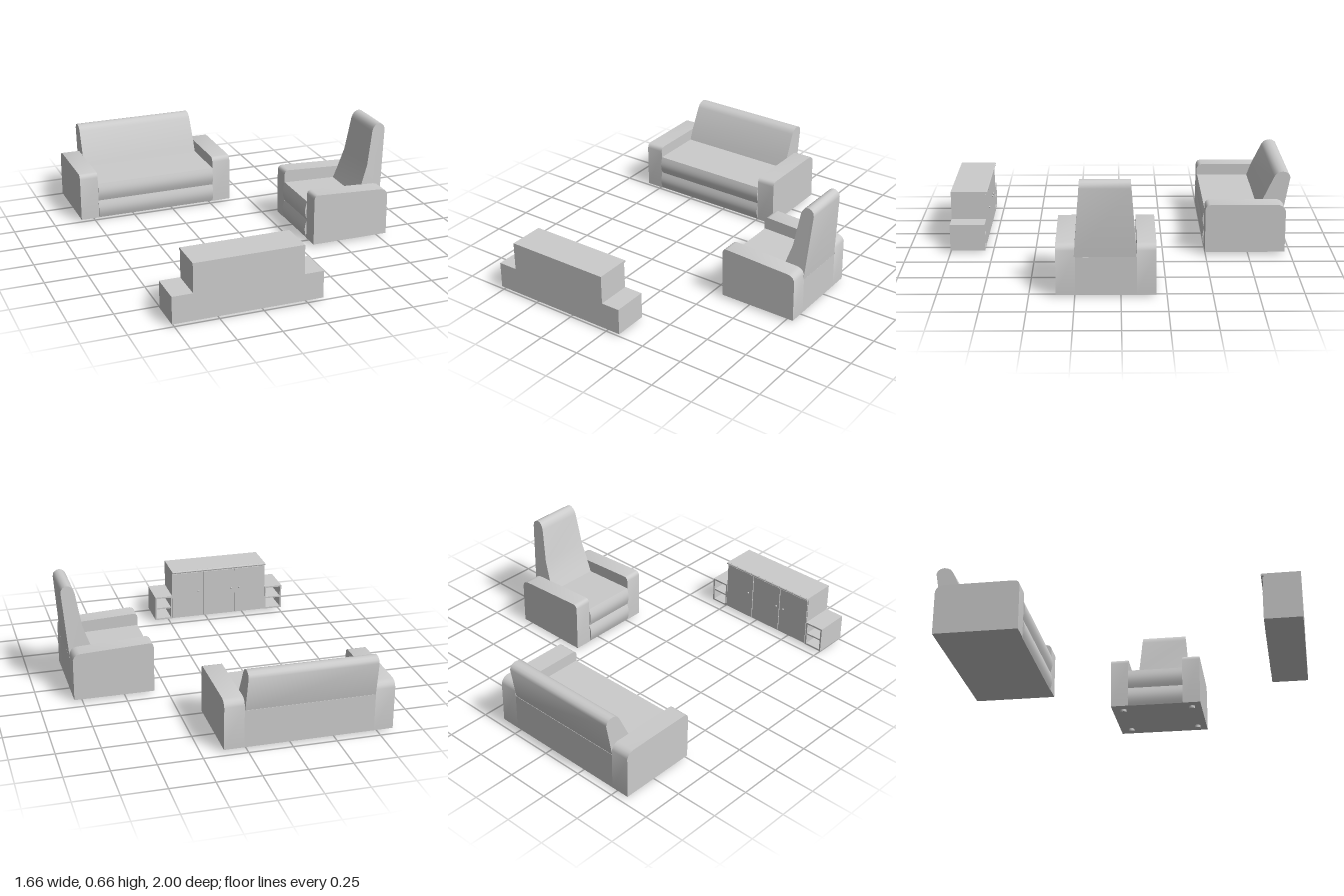
import * as THREE from 'three';
import { toCreasedNormals } from 'three/addons/utils/BufferGeometryUtils.js';

const grey = new THREE.MeshStandardMaterial({ color: 0xcccccc });

function add(parent, name, geometry) {
  const mesh = new THREE.Mesh(geometry, grey);
  mesh.name = name;
  parent.add(mesh);
  return mesh;
}

// Box given by its lower and upper corners
function box(parent, name, [x0, y0, z0], [x1, y1, z1]) {
  const g = new THREE.BoxGeometry(x1 - x0, y1 - y0, z1 - z0);
  return add(parent, name, g.translate((x0 + x1) / 2, (y0 + y1) / 2, (z0 + z1) / 2));
}

// Side profile extruded over a width; taper(y) scales the width about its centre
function profile(points, from, to, alongX, taper) {
  const shape = new THREE.Shape(points.map(([a, b]) => new THREE.Vector2(a, b)));
  const g = new THREE.ExtrudeGeometry(shape, { depth: to - from, bevelEnabled: false });
  g.translate(0, 0, -(to - from) / 2);
  if (taper) {
    const p = g.attributes.position;
    for (let i = 0; i < p.count; i++) p.setZ(i, p.getZ(i) * taper(p.getY(i)));
  }
  if (alongX) g.rotateY(-Math.PI / 2).translate((from + to) / 2, 0, 0);
  else g.translate(0, 0, (from + to) / 2);
  return toCreasedNormals(g, 0.65);
}

// Seat outline whose front edge swells in two soft rolls
function seatProfile(front, back, bottom, topFront, topBack, bulge) {
  const pts = [[back, topBack], [back, bottom]];
  const n = 20;
  for (let i = 0; i <= n; i++) {
    const t = i / n;
    pts.push([front + bulge * Math.abs(Math.sin(t * Math.PI * 2)), bottom + (topFront - bottom) * t]);
  }
  return pts;
}

function createSofa() {
  const sofa = new THREE.Group();
  sofa.name = 'sofa';
  const arm = [
    [-0.497, 0.015], [-0.497, 0.275], [-0.502, 0.291], [-0.512, 0.3], [-0.525, 0.303],
    [-0.925, 0.303], [-0.945, 0.295], [-0.958, 0.282], [-0.965, 0.265], [-0.965, 0.015],
  ];
  add(sofa, 'rightArm', profile(arm, -0.835, -0.725, true));
  add(sofa, 'leftArm', profile(arm, 0.015, 0.128, true));
  add(sofa, 'seat', profile(seatProfile(-0.5, -0.965, 0.015, 0.235, 0.235, 0.012), -0.725, 0.015, true));
  const back = [
    [-0.815, 0.23], [-0.842, 0.305], [-0.905, 0.438], [-0.918, 0.456], [-0.936, 0.466],
    [-0.957, 0.47], [-0.977, 0.466], [-0.992, 0.455], [-1.0, 0.437], [-0.962, 0.23],
  ];
  add(sofa, 'backrest', profile(back, -0.725, 0.012, true, y => 1 - 0.06 * Math.max(0, y - 0.24)));
  return sofa;
}

function createArmchair() {
  const chair = new THREE.Group();
  chair.name = 'armchair';
  const arm = [
    [0.328, 0.015], [0.328, 0.295], [0.332, 0.309], [0.34, 0.317], [0.355, 0.32],
    [0.755, 0.301], [0.775, 0.296], [0.789, 0.285], [0.798, 0.267], [0.798, 0.015],
  ];
  add(chair, 'leftArm', profile(arm, 0.247, 0.352, false));
  add(chair, 'rightArm', profile(arm, -0.19, -0.085, false));
  add(chair, 'seat', profile(seatProfile(0.33, 0.798, 0.015, 0.245, 0.23, -0.013), -0.085, 0.247, false));
  const back = [
    [0.645, 0.22], [0.676, 0.3], [0.716, 0.417], [0.75, 0.618], [0.757, 0.638], [0.768, 0.653],
    [0.783, 0.662], [0.8, 0.663], [0.816, 0.655], [0.827, 0.642], [0.83, 0.622], [0.797, 0.22],
  ];
  add(chair, 'backrest', profile(back, -0.084, 0.254, false, y => 1 - 0.46 * Math.max(0, y - 0.24)));
  // Four short feet
  for (const x of [0.395, 0.723])
    for (const z of [-0.122, 0.296])
      add(chair, 'foot', new THREE.CylinderGeometry(0.018, 0.018, 0.016, 16).translate(x, 0.008, z));
  return chair;
}

function createCabinet() {
  const cabinet = new THREE.Group();
  cabinet.name = 'cabinet';
  const x0 = -0.645, x1 = -0.02, wall = 0.01;
  box(cabinet, 'cupboardBody', [x0, 0.015, 0.8], [x1, 0.33, 1]);
  box(cabinet, 'topBoard', [x0, 0.328, 0.79], [x1, 0.341, 1]);
  const lip = new THREE.CylinderGeometry(0.0065, 0.0065, x1 - x0, 12).rotateZ(Math.PI / 2);
  add(cabinet, 'topLip', lip.translate((x0 + x1) / 2, 0.3345, 0.791));
  // Three doors with narrow gaps
  const w = (x1 - x0) / 3;
  for (let i = 0; i < 3; i++)
    box(cabinet, 'door', [x0 + i * w + 0.003, 0.02, 0.794], [x0 + (i + 1) * w - 0.003, 0.322, 0.801]);
  for (const x of [-0.195, -0.415, -0.468])
    add(cabinet, 'knob', new THREE.SphereGeometry(0.006, 12, 8).translate(x, 0.19, 0.79));
  // Open shelf units on both ends
  for (const [name, a, b] of [['leftShelfUnit', x1, 0.092], ['rightShelfUnit', -0.762, x0]]) {
    const unit = new THREE.Group();
    unit.name = name;
    cabinet.add(unit);
    box(unit, 'bottomBoard', [a, 0.015, 0.795], [b, 0.015 + wall, 1]);
    box(unit, 'shelf', [a + wall, 0.088, 0.797], [b - wall, 0.097, 0.99]);
    box(unit, 'topBoard', [a, 0.172 - wall, 0.795], [b, 0.172, 1]);
    box(unit, 'backPanel', [a, 0.025, 0.99], [b, 0.162, 1]);
    box(unit, 'sidePanel', [a, 0.025, 0.795], [a + wall, 0.162, 0.99]);
    box(unit, 'sidePanel', [b - wall, 0.025, 0.795], [b, 0.162, 0.99]);
  }
  return cabinet;
}

export function createModel() {
  const model = new THREE.Group();
  model.name = 'livingRoomSet';
  model.add(createSofa(), createArmchair(), createCabinet());
  return model;
}
